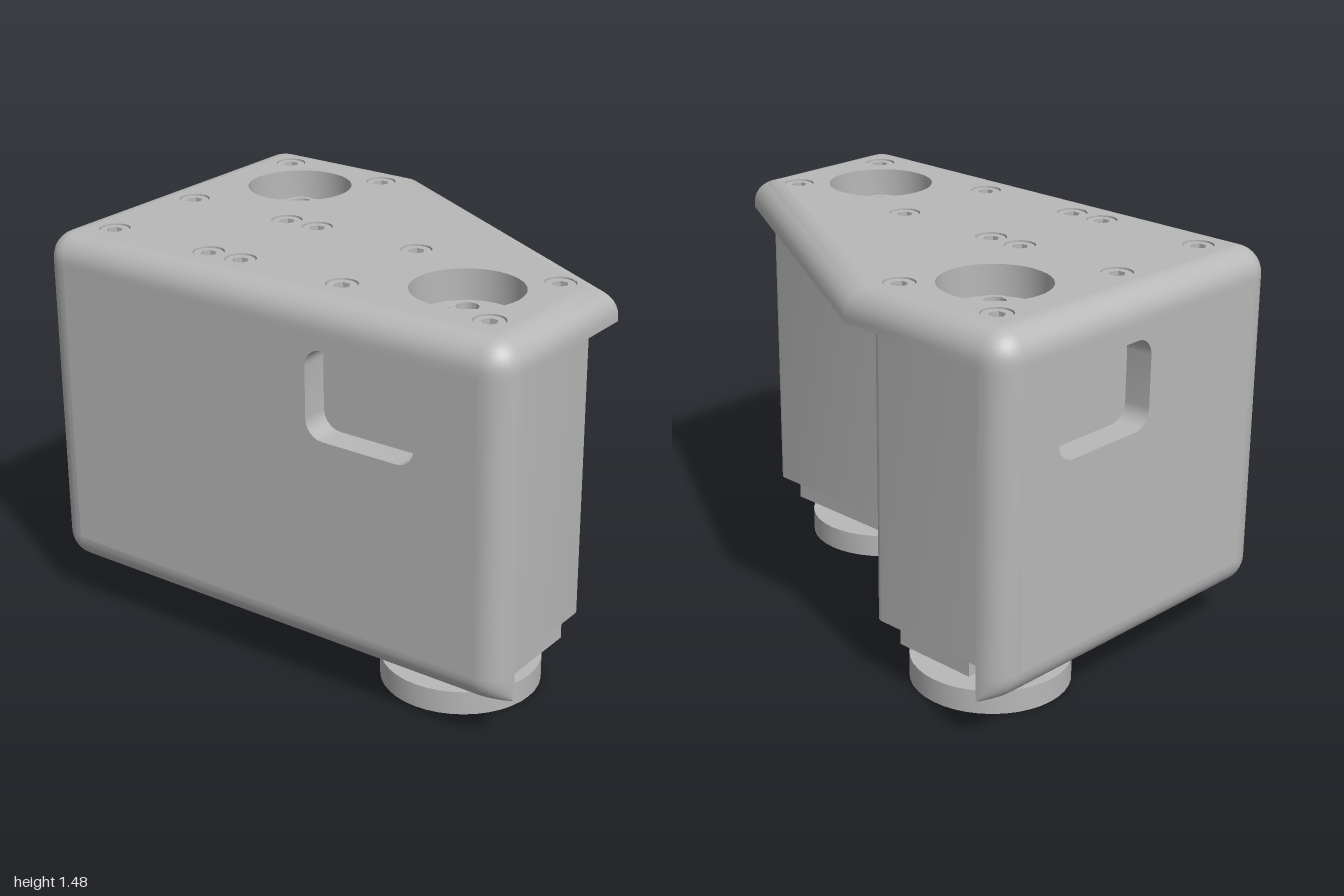
import * as THREE from 'three';
import { toCreasedNormals } from 'three/addons/utils/BufferGeometryUtils.js';

const L = 0.998, H = 0.703, R = 0.105, T = 0.105; // half length, half depth, corner radius, wall
const BASE = 0.17, ROOF = 1.36, TOP = 1.48;
const V = (x, y) => new THREE.Vector2(x, y);

export function createModel() {
  const grey = new THREE.MeshStandardMaterial({ color: 0xb8b8b8, side: THREE.DoubleSide });
  grey.name = 'light grey';
  const model = new THREE.Group();
  const root = new THREE.Group();
  root.name = 'actuatorPair';
  root.rotation.y = -0.007;
  model.add(root);

  const add = (name, geo, x = 0, y = 0, z = 0) => {
    const m = new THREE.Mesh(toCreasedNormals(geo, 0.6), grey);
    m.name = name;
    m.position.set(x, y, z);
    root.add(m);
    return m;
  };
  const arc = (cx, cz, r, from, n = 8) => Array.from({ length: n + 1 }, (_, i) => {
    const a = from + (i / n) * Math.PI / 2;
    return V(cx + r * Math.cos(a), cz + r * Math.sin(a));
  });
  const circle = (x, z, r) => new THREE.Path().absarc(x, z, r, 0, Math.PI * 2, true);
  // Horizontal plate from a plan in x and z
  const slab = (shape, y, h) => new THREE.ExtrudeGeometry(shape, { depth: h, bevelEnabled: false, curveSegments: 20 })
    .rotateX(Math.PI / 2).translate(0, y + h, 0);
  const flat = (shape, y) => new THREE.ShapeGeometry(shape, 20).rotateX(Math.PI / 2).translate(0, y, 0);
  // Surface through rows of {y, pts}, rising upwards
  const loft = (rows, closed, skip = () => false) => {
    const n = rows[0].pts.length, pos = [], idx = [];
    rows.forEach(r => r.pts.forEach(p => pos.push(p.x, r.y, p.y)));
    for (let i = 0; i < rows.length - 1; i++) {
      for (let j = 0; j < (closed ? n : n - 1); j++) {
        if (skip(i, j)) continue;
        const a = i * n + j, b = i * n + (j + 1) % n;
        idx.push(a, a + n, b, b, a + n, b + n);
      }
    }
    const g = new THREE.BufferGeometry();
    g.setAttribute('position', new THREE.Float32BufferAttribute(pos, 3));
    g.setIndex(idx);
    g.computeVertexNormals();
    return g;
  };

  // Cover outline, moved inward by d
  const plan = d => [
    ...arc(L - R, H - R, R - d, 0),
    ...arc(-L + R, H - R, R - d, Math.PI / 2),
    ...arc(-L + R, -H + R, R - d, Math.PI),
    V(-0.28 - 0.259 * d, -H + d), V(L - d, 0.589 * d),
  ];
  const hubs = [[-0.585, -0.3], [0.588, 0.3]];
  const screws = [];
  for (const x of [-0.805, -0.36, -0.22, 0.22, 0.81])
    for (const z of x < -0.3 ? [-0.525, 0.07, 0.515] : [0.07, 0.51]) screws.push([x, z]);

  // Cover roof with rounded rim
  const roof = new THREE.Shape(plan(0.1));
  hubs.forEach(([x, z]) => roof.holes.push(circle(x, z, 0.2)));
  screws.forEach(([x, z]) => roof.holes.push(circle(x, z, 0.057)));
  add('coverRoof', slab(roof, ROOF, TOP - ROOF));
  const rim = [{ y: ROOF, pts: plan(0) }];
  for (let i = 0; i <= 8; i++) {
    const a = i / 8 * Math.PI / 2;
    rim.push({ y: TOP - 0.1 + 0.1 * Math.sin(a), pts: plan(0.1 * (1 - Math.cos(a))) });
  }
  add('coverRim', loft(rim, true));
  const under = new THREE.Shape(plan(0));
  hubs.forEach(([x, z]) => under.holes.push(circle(x, z, 0.2)));
  add('coverUnderside', flat(under, ROOF));

  // Cover wall: rounded corners and lower edge, flat panels left out
  const path = plan(0).slice(0, 27), walls = [];
  const pull = k => path.map(p => V(
    p.x < -L + T ? -L + T + (p.x + L - T) * k : p.x,
    p.y > H - T ? H - T + (p.y - H + T) * k : p.y));
  for (let i = 0; i <= 8; i++) {
    const a = i / 8 * Math.PI / 2;
    walls.push({ y: BASE + T * (1 - Math.cos(a)), pts: pull(Math.sin(a)) });
  }
  walls.push({ y: ROOF, pts: path });
  add('coverWallEdges', loft(walls, false, (i, j) => i === 8 && (j === 8 || j === 17)));

  // Flat wall panels with rounded windows
  const roundRect = (x0, x1, y0, y1, r) => [
    ...arc(x1 - r, y1 - r, r, 0), ...arc(x0 + r, y1 - r, r, Math.PI / 2),
    ...arc(x0 + r, y0 + r, r, Math.PI), ...arc(x1 - r, y0 + r, r, Math.PI * 1.5)];
  const panel = (half, w0, w1) => {
    const s = new THREE.Shape([V(-half, BASE + T), V(half, BASE + T), V(half, ROOF), V(-half, ROOF)]);
    s.holes.push(new THREE.Path(roundRect(w0, w1, 0.98, 1.31, 0.07)));
    return new THREE.ExtrudeGeometry(s, { depth: T, bevelEnabled: false });
  };
  add('frontWall', panel(L - R, 0.205, 0.65), 0, 0, H - T);
  add('sideWall', panel(H - R, -0.43, 0.03).rotateY(-Math.PI / 2), -L + T);
  const midY = (BASE + ROOF) / 2;
  add('frontWallInside', new THREE.PlaneGeometry(2 * L - T, ROOF - BASE).rotateY(Math.PI), T / 2, midY, H - T);
  add('sideWallInside', new THREE.PlaneGeometry(2 * H - T, ROOF - BASE).rotateY(Math.PI / 2), -L + T, midY, -T / 2);

  // Motor housings: bevelled body above a base with notched corners
  const motor = (name, x0, x1, z0, z1) => {
    const ring = d => roundRect(x0 + d, x1 - d, z0 + d, z1 - d, 0.035 - d);
    add(name + 'Body', loft([
      { y: 0.225, pts: ring(0) }, { y: 1.328, pts: ring(0) }, { y: 1.358, pts: ring(0.03) }], true));
    add(name + 'Top', slab(new THREE.Shape(ring(0.03)), 1.353, 0.005));
    const ceiling = new THREE.Shape(ring(0));
    const n = 0.13, q = 0.04, pts = [];
    // Walk the four corners, cutting a rounded notch at each
    for (const [cx, cz, sx, sz] of [[x1, z1, 1, 1], [x0, z1, -1, 1], [x0, z0, -1, -1], [x1, z0, 1, -1]]) {
      const notch = [V(cx, cz - sz * n)];
      for (let i = 0; i <= 4; i++) {
        const a = i / 4 * Math.PI / 2;
        notch.push(V(cx - sx * (n - q + q * Math.sin(a)), cz - sz * (n - q + q * Math.cos(a))));
      }
      notch.push(V(cx - sx * n, cz));
      pts.push(...(sx * sz > 0 ? notch : notch.reverse()));
      ceiling.holes.push(circle(cx - sx * 0.065, cz - sz * 0.065, 0.028));
    }
    add(name + 'Ceiling', flat(ceiling, 0.225));
    const base = new THREE.Shape(pts);
    screws.filter(([x, z]) => x > x0 && x < x1 && z > z0 && z < z1).forEach(([x, z]) => {
      const px = x < x0 + 0.2 ? x0 + 0.2 : x > x1 - 0.2 ? x1 - 0.2 : x;
      const pz = z < z0 + 0.1 ? z0 + 0.06 : z > z1 - 0.1 ? z1 - 0.06 : z;
      base.holes.push(circle(px, pz, 0.02));
    });
    add(name + 'Base', slab(base, BASE, 0.055));
  };
  motor('rearMotor', -0.89, -0.295, -0.595, 0.595);
  motor('frontMotor', -0.287, 0.905, 0.003, 0.595);

  // Output wheels, shafts and upper bosses
  const lathe = pts => new THREE.LatheGeometry(pts.map(p => V(...p)), 40);
  for (const [x, z] of hubs) {
    const disc = new THREE.Shape().absarc(0, 0, 0.292, 0, Math.PI * 2);
    disc.holes.push(circle(0, 0, 0.09));
    for (let i = 0; i < 4; i++) {
      const a = (i + 0.5) * Math.PI / 2;
      disc.holes.push(circle(0.21 * Math.cos(a), 0.21 * Math.sin(a), 0.033));
    }
    add('outputWheel', slab(disc, 0, 0.09), x, 0, z);
    add('shaft', lathe([[0, 0.07], [0.035, 0.07], [0.035, 0.03], [0.09, 0.03], [0.09, 0.09], [0.12, 0.09],
      [0.12, 0.135], [0.085, 0.135], [0.085, 0.15], [0.19, 0.15], [0.19, 0.17]]), x, 0, z);
    add('upperBoss', lathe([[0.19, 1.355], [0.19, 1.368], [0.085, 1.368], [0.085, 1.4], [0.06, 1.4],
      [0.06, 1.415], [0.04, 1.415], [0.04, 1.375], [0, 1.375]]), x, 0, z);
  }

  // Hex socket screws in the roof
  const head = new THREE.Shape().absarc(0, 0, 0.053, 0, Math.PI * 2);
  head.holes.push(new THREE.Path(Array.from({ length: 6 }, (_, i) =>
    V(0.03 * Math.cos(i * Math.PI / 3), 0.03 * Math.sin(i * Math.PI / 3)))));
  const headGeo = slab(head, TOP - 0.045, 0.04);
  for (const [x, z] of screws) {
    add('screwHead', headGeo, x, 0, z);
    add('screwFloor', new THREE.CircleGeometry(0.057, 20).rotateX(-Math.PI / 2), x, TOP - 0.045, z);
  }
  return model;
}
